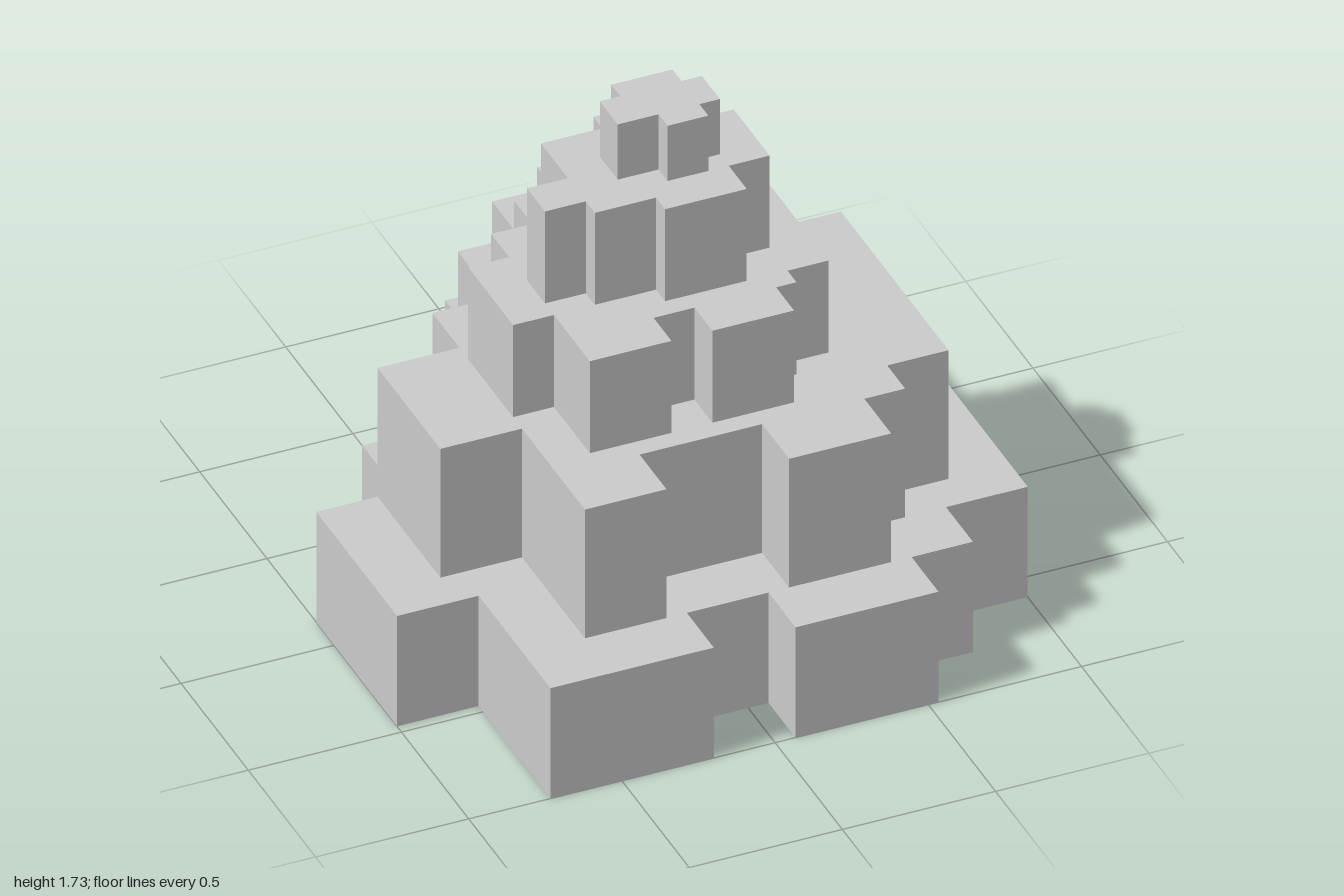
import * as THREE from 'three';

// All measures are whole cells of a 1/15 unit grid.
const CELL = 1 / 15;

// Each outline lists [x, z] corners; between two of them the edge runs
// first along x, then along z, so every step is a right angle.
const TIERS = [
  { name: 'baseTier', bottom: 0, top: 6, steps: [
    [-3, -15], [5, -11], [9, -6], [15, 9], [11, 12], [8, 15],
    [1, 12], [-3, 15], [-11, 7], [-15, -2], [-11, -6], [-7, -11]] },
  { name: 'secondTier', bottom: 6, top: 13, steps: [
    [-2, -12], [4, -9], [8, -5], [12, 7], [9, 9], [7, 12],
    [2, 9], [-4, 12], [-8, 5], [-12, -2], [-8, -5], [-5, -9]] },
  { name: 'thirdTier', bottom: 13, top: 18, steps: [
    [-2, -7], [2, -5], [4, -3], [7, 5], [5, 6], [4, 8],
    [0, 6], [-2, 8], [-6, 4], [-8, -1], [-6, -3], [-4, -5]] },
  { name: 'fourthTier', bottom: 18, top: 23, steps: [
    [-1, -3], [3, -1], [5, 3], [3, 5], [-1, 4], [-4, 3], [-6, 1], [-4, -2]] },
  { name: 'peakTier', bottom: 23, top: 26, steps: [
    [-1, -1], [2, 0], [3, 2], [2, 3], [0, 2], [-2, 0]] },
];

// Turns the stepped outline into an upright block.
function tierGeometry({ bottom, top, steps }) {
  const points = [];
  steps.forEach(([x, z], i) => {
    const nextX = steps[(i + 1) % steps.length][0];
    points.push(new THREE.Vector2(x * CELL, -z * CELL));
    points.push(new THREE.Vector2(nextX * CELL, -z * CELL));
  });
  const geometry = new THREE.ExtrudeGeometry(new THREE.Shape(points), {
    depth: (top - bottom) * CELL,
    bevelEnabled: false,
  });
  return geometry.rotateX(-Math.PI / 2).translate(0, bottom * CELL, 0);
}

export function createModel() {
  const group = new THREE.Group();
  group.name = 'steppedMound';
  const material = new THREE.MeshStandardMaterial({ color: 0xcccccc, flatShading: true });
  for (const tier of TIERS) {
    const mesh = new THREE.Mesh(tierGeometry(tier), material);
    mesh.name = tier.name;
    group.add(mesh);
  }
  return group;
}
